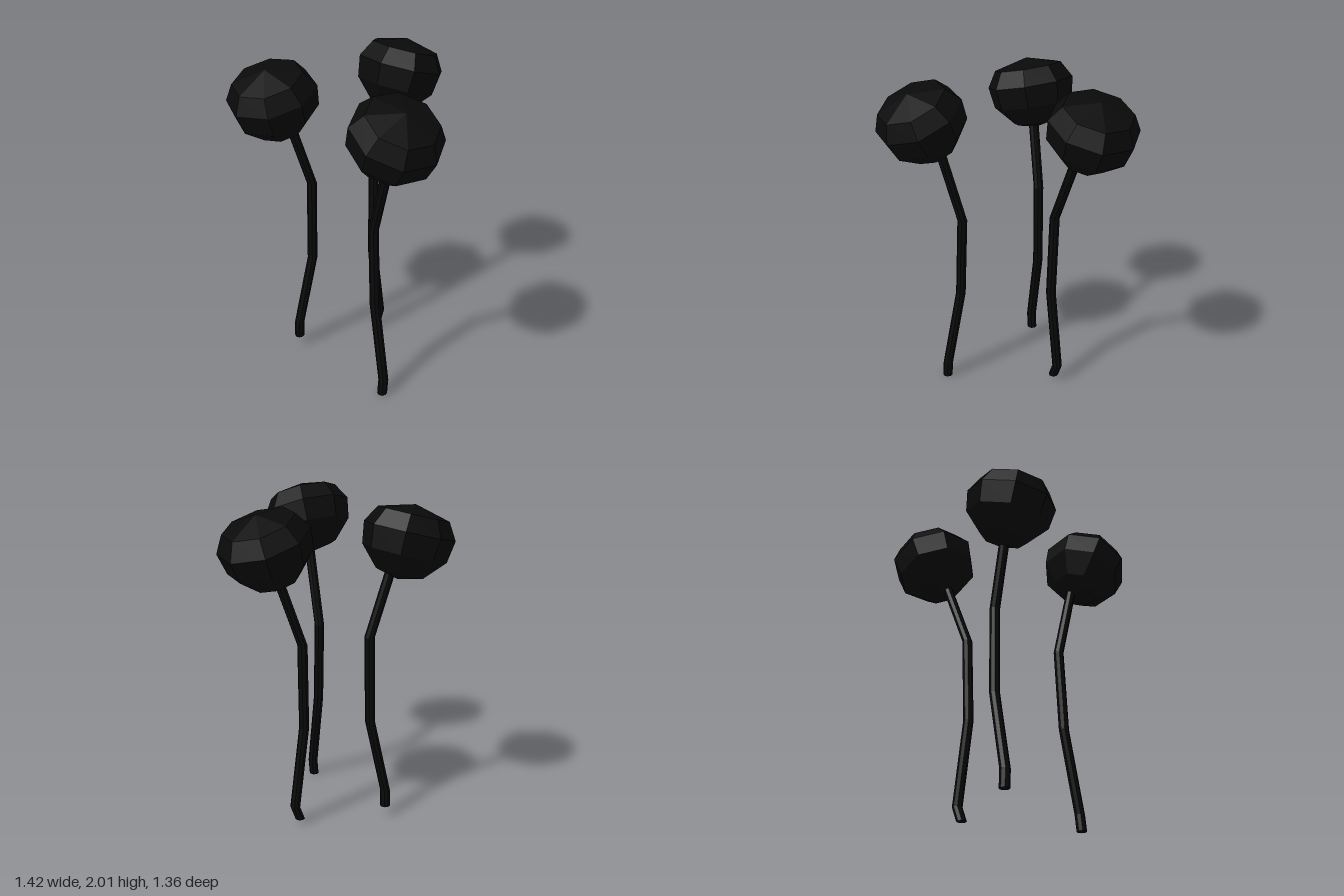
import * as THREE from 'three';

const material = new THREE.MeshStandardMaterial({ color: 0x0a0a0a, flatShading: true });

// Each plant: stem knots from the ground up, head centre, lean (axis tilt) and turn of its facets
const plants = [
  {
    name: 'frontRight',
    knots: [[-0.4, 0.07, 0.33], [-0.395, 0.18, 0.33], [-0.36, 0.66, 0.225], [-0.35, 1.2, 0.215], [-0.4, 1.66, 0.34]],
    head: [-0.438, 1.8, 0.41], lean: [0, 15], turn: 0,
  },
  {
    name: 'backCentre',
    knots: [[-0.18, 0.03, -0.17], [-0.18, 0.12, -0.205], [-0.175, 0.64, -0.135], [-0.18, 1.17, -0.15], [-0.19, 1.66, -0.345]],
    head: [-0.22, 1.81, -0.42], lean: [0, -19], turn: 0.25,
  },
  {
    name: 'frontLeft',
    knots: [[0.345, 0, 0.295], [0.345, 0.1, 0.285], [0.245, 0.61, 0.26], [0.225, 1.12, 0.25], [0.375, 1.66, 0.265]],
    head: [0.455, 1.81, 0.31], lean: [25, 2], turn: 0.15,
  },
];

// Bent stem: a straight lathe whose rings are slid sideways onto the knots
function makeStem(knots) {
  const r = 0.031;
  const first = knots[0], last = knots[knots.length - 1];
  const rows = [[0, first], ...knots.map((k) => [r, k]), [0, last]];
  const geometry = new THREE.LatheGeometry(rows.map(([radius, k]) => new THREE.Vector2(radius, k[1])), 8);
  const pos = geometry.attributes.position;
  for (let i = 0; i < pos.count; i++) {
    const k = rows[i % rows.length][1];
    pos.setX(i, pos.getX(i) + k[0]);
    pos.setZ(i, pos.getZ(i) + k[2]);
  }
  geometry.computeVertexNormals();
  return new THREE.Mesh(geometry, material);
}

// Faceted, slightly flattened eight-sided head
function makeHead({ head, lean, turn }) {
  const profile = [[0, -0.255], [0.14, -0.22], [0.25, -0.1], [0.27, 0.03], [0.21, 0.13], [0, 0.185]];
  const geometry = new THREE.LatheGeometry(profile.map(([x, y]) => new THREE.Vector2(x, y)), 8);
  geometry.rotateY(turn);
  const mesh = new THREE.Mesh(geometry, material);
  mesh.position.set(...head);
  mesh.rotation.set(THREE.MathUtils.degToRad(lean[1]), 0, -THREE.MathUtils.degToRad(lean[0]));
  return mesh;
}

export function createModel() {
  const model = new THREE.Group();
  model.name = 'stalkPlants';
  for (const plant of plants) {
    const group = new THREE.Group();
    group.name = plant.name + 'Plant';
    const stem = makeStem(plant.knots);
    stem.name = plant.name + 'Stem';
    const head = makeHead(plant);
    head.name = plant.name + 'Head';
    group.add(stem, head);
    model.add(group);
  }
  return model;
}
